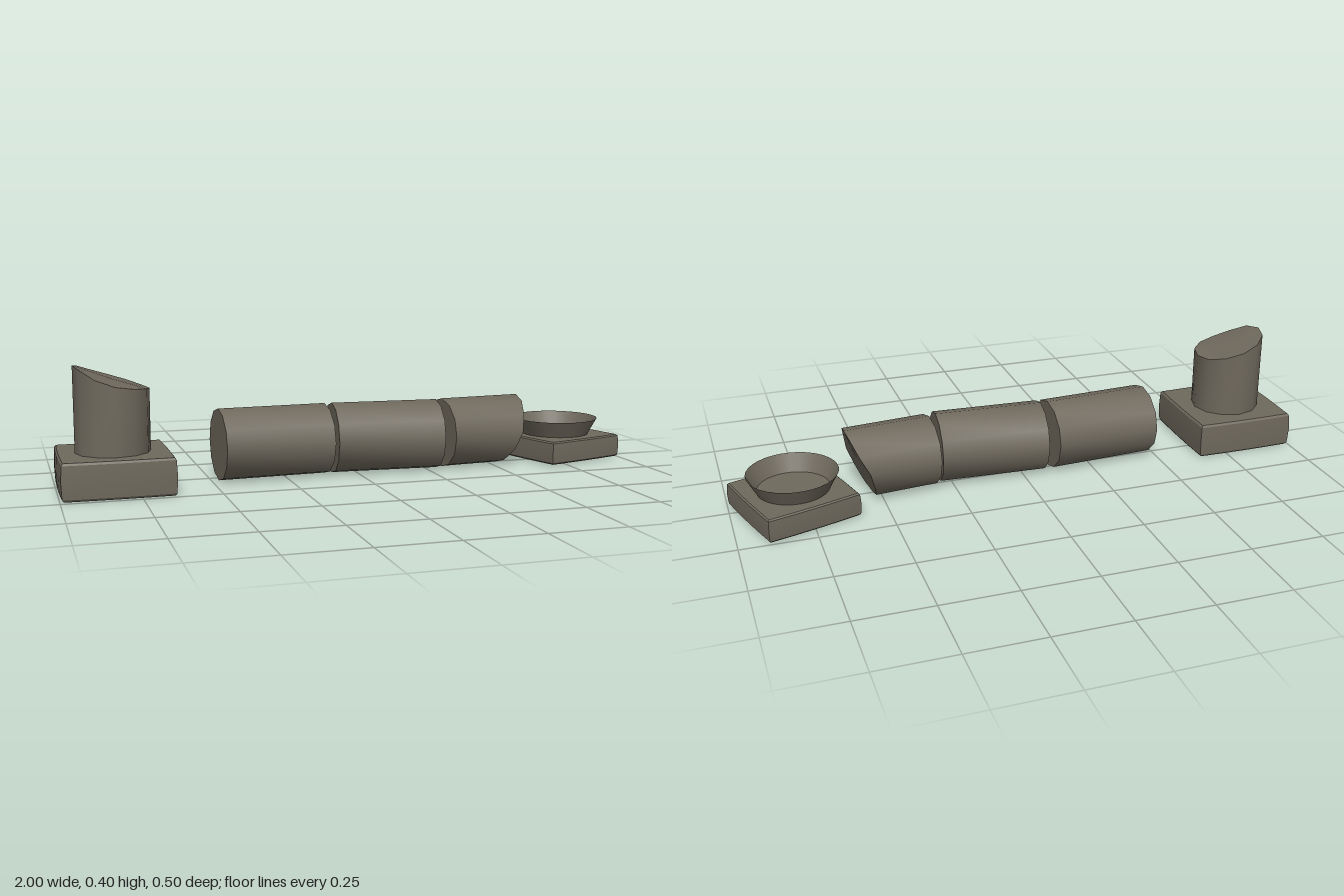
import * as THREE from 'three';
import { toCreasedNormals } from 'three/addons/utils/BufferGeometryUtils.js';

const R = 0.12; // shaft radius
const SIDES = 12;

const stone = new THREE.MeshStandardMaterial({ color: 0x6f695d });
stone.name = 'weatheredStone';
const openStone = new THREE.MeshStandardMaterial({ color: 0x6f695d, side: THREE.DoubleSide });
openStone.name = 'weatheredStoneThin';

// Shaft standing on y = 0; heights lists the rim height at each corner, from +x towards +z
function shaft(heights) {
  const g = new THREE.CylinderGeometry(R, R, 1, SIDES, 1);
  g.translate(0, 0.5, 0);
  const p = g.attributes.position;
  const mean = heights.reduce((a, b) => a + b, 0) / heights.length;
  for (let i = 0; i < p.count; i++) {
    if (p.getY(i) < 0.5) continue;
    const x = p.getX(i), z = p.getZ(i);
    const k = Math.round(Math.atan2(z, x) / (Math.PI * 2 / SIDES) + SIDES) % SIDES;
    p.setY(i, Math.hypot(x, z) < 0.01 ? mean : heights[k]);
  }
  return g;
}

// Square block with worn edges and slightly swollen sides
function slab(width, height) {
  const g = new THREE.BoxGeometry(2, 2, 2, 4, 4, 4);
  const p = g.attributes.position;
  for (let i = 0; i < p.count; i++) {
    const x = p.getX(i), y = p.getY(i), z = p.getZ(i);
    const a = Math.abs(y);
    const inset = a > 0.9 ? 0.955 : a > 0.4 ? 0.985 : 1;
    const level = a > 0.9 ? 1 : a > 0.4 ? 0.88 : 0;
    p.setXYZ(i,
      x * inset * (1 - 0.02 * z * z) * width / 2,
      Math.sign(y) * level * height / 2,
      z * inset * (1 - 0.02 * x * x) * width / 2);
  }
  return toCreasedNormals(g, 0.4);
}

function add(group, name, geometry, position, turn = 0, material = stone) {
  const mesh = new THREE.Mesh(geometry, material);
  mesh.name = name;
  mesh.position.set(...position);
  mesh.rotation.y = THREE.MathUtils.degToRad(turn);
  group.add(mesh);
}

export function createModel() {
  const model = new THREE.Group();
  model.name = 'fallenColumn';

  // Standing base with a snapped stump
  add(model, 'plinth', slab(0.362, 0.12), [-0.819, 0.066, 0.067]);
  const stumpRim = [0.325, 0.33, 0.335, 0.345, 0.367, 0.395, 0.405, 0.398, 0.38, 0.36, 0.342, 0.328];
  add(model, 'brokenStump', toCreasedNormals(shaft(stumpRim.map((y) => y - 0.11)), 0.6), [-0.82, 0.11, 0.067]);

  // Drums lying on the ground, top end towards +x
  const whole = new Array(SIDES).fill(0.37);
  const brokenEnd = [0.525, 0.535, 0.553, 0.575, 0.587, 0.602, 0.612, 0.608, 0.592, 0.562, 0.545, 0.53];
  const drums = [
    ['firstDrum', whole, -0.475, 0.039, 3.4],
    ['secondDrum', whole, -0.08, 0.018, -3.2],
    ['brokenDrum', brokenEnd.map((x) => x - 0.315), 0.315, 0.027, 5.5],
  ];
  for (const [name, rim, x, z, turn] of drums) {
    const g = shaft(rim).rotateZ(-Math.PI / 2);
    add(model, name, toCreasedNormals(g, 0.6), [x, 0.124, z], turn);
  }

  // Capital: square slab with a flared, hollow collar
  add(model, 'capitalSlab', slab(0.33, 0.08), [0.795, 0.048, -0.05], 17);
  const collar = new THREE.CylinderGeometry(0.15, 0.118, 0.06, 32, 1, true);
  add(model, 'capitalCollar', collar, [0.793, 0.116, -0.05], 17, openStone);

  return model;
}
